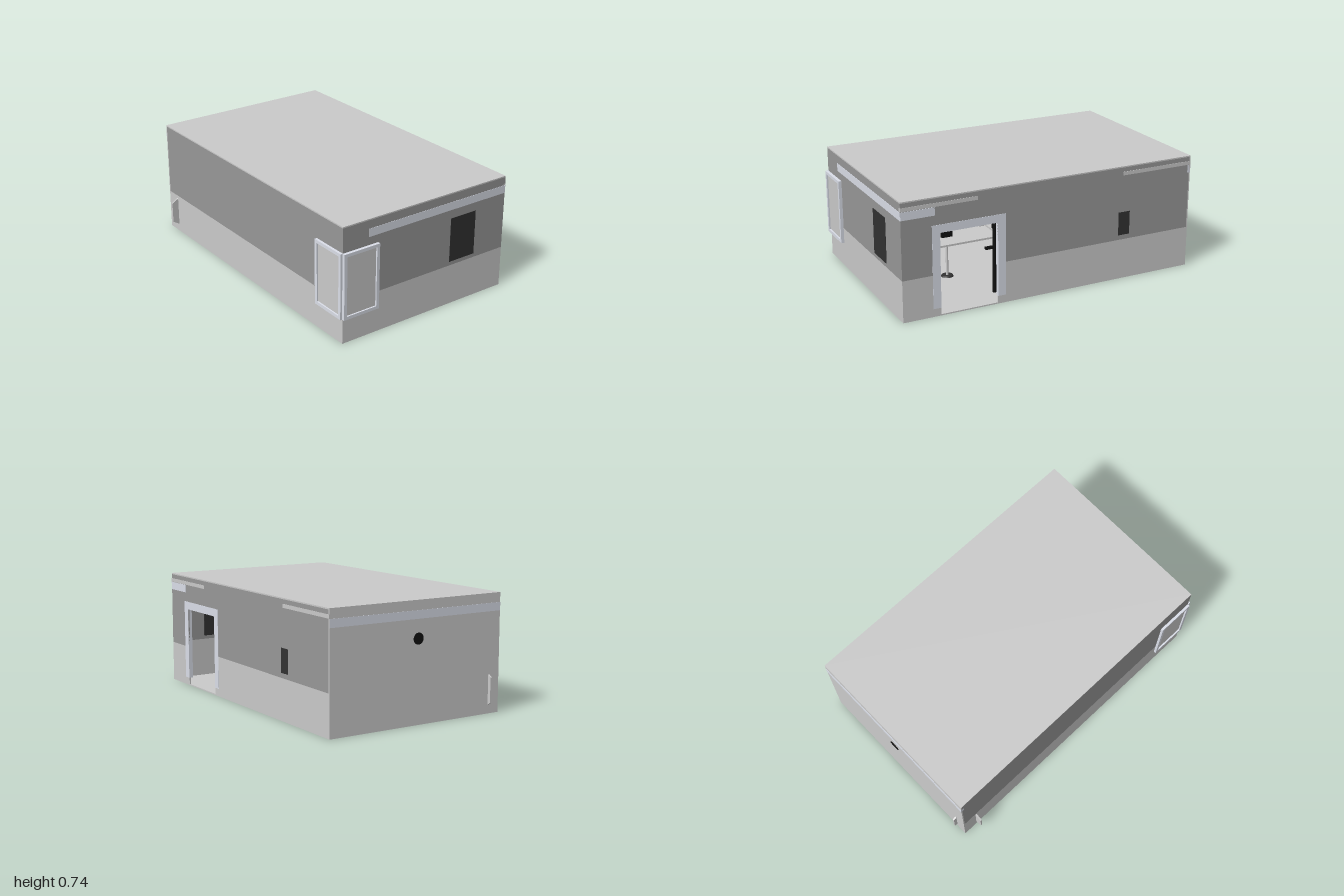
import * as THREE from 'three';

const GREY = 0xcccccc, DARK = 0x999999, TRIM = 0xdce0ea, BLACK = 0x101010, BOARD = 0x323232;
const L = -0.59, R = 0.63, F = 0.98, B = -0.978, H = 0.735, DADO = 0.26, T = 0.008;

const materials = new Map();
function mat(color) {
  if (!materials.has(color)) {
    materials.set(color, new THREE.MeshStandardMaterial({ color, side: THREE.DoubleSide }));
  }
  return materials.get(color);
}

export function createModel() {
  const room = new THREE.Group();
  room.name = 'room';

  const add = (parent, name, geometry, color) => {
    const mesh = new THREE.Mesh(geometry, mat(color));
    mesh.name = name;
    parent.add(mesh);
    return mesh;
  };
  // Box given by its limits on each axis
  const box = (parent, name, color, x0, x1, y0, y1, z0, z1) => {
    const mesh = add(parent, name, new THREE.BoxGeometry(x1 - x0, y1 - y0, z1 - z0), color);
    mesh.position.set((x0 + x1) / 2, (y0 + y1) / 2, (z0 + z1) / 2);
    return mesh;
  };
  const group = (name) => {
    const g = new THREE.Group();
    g.name = name;
    room.add(g);
    return g;
  };

  // Shell: floor, ceiling and two-tone walls
  box(room, 'floor', GREY, L, R, 0, T, B, F);
  box(room, 'ceiling', GREY, L, R, H - T, H, B, F);
  box(room, 'backWall', GREY, L, R, T, H - T, B, B + T);
  const doorZ0 = 0.37, doorZ1 = 0.74, doorTop = 0.515;
  for (const [name, color, y0, y1] of [['lowerWall', GREY, T, DADO], ['upperWall', DARK, DADO, H - T]]) {
    box(room, name + 'Front', color, L, R, y0, y1, F - T, F);
    box(room, name + 'Right', color, L, L + T, y0, y1, B + T, F - T);
    box(room, name + 'DoorSideRear', color, R - T, R, y0, y1, B + T, doorZ0);
    box(room, name + 'DoorSideFront', color, R - T, R, y0, y1, doorZ1, F - T);
  }
  box(room, 'doorLintel', DARK, R - T, R, doorTop, H - T, doorZ0, doorZ1);

  // Door casing
  const casing = group('doorCasing');
  box(casing, 'casingTop', TRIM, R - 0.025, R + 0.002, doorTop, 0.565, doorZ0 - 0.05, doorZ1 + 0.05);
  for (const z of [doorZ0 - 0.05, doorZ1]) {
    box(casing, 'casingSide', TRIM, R - 0.025, R + 0.002, 0.05, doorTop, z, z + 0.05);
  }

  // Trim bands flush with the walls
  const e = 0.002;
  box(room, 'frontBand', TRIM, -0.405, R, 0.625, 0.675, F - 0.02, F + e);
  box(room, 'doorSideBand', TRIM, R - 0.02, R + e, 0.625, 0.675, 0.77, F);
  box(room, 'backBand', TRIM, L, R, 0.625, 0.675, B - e, B + 0.02);
  box(room, 'frontCornice', GREY, R - 0.02, R + e, 0.677, 0.70, 0.5, F);
  box(room, 'rearCornice', GREY, R - 0.02, R + e, 0.677, 0.70, B, -0.485);

  // Dark boards and round clock
  box(room, 'frontBoard', BOARD, 0.203, 0.397, 0.285, 0.57, F - 0.02, F + e);
  box(room, 'smallBoard', BOARD, R - 0.02, R + 0.0005, 0.29, 0.44, -0.54, -0.46);
  const clock = add(room, 'clock', new THREE.CylinderGeometry(0.035, 0.035, 0.02, 32), BLACK);
  clock.rotation.x = Math.PI / 2;
  clock.position.set(0.02, 0.51, B + 0.007);

  // Two framed windows meeting at a corner, built facing +z
  const makeWindow = (name, w) => {
    const g = group(name);
    const h = 0.415, b = 0.02, d = 0.02;
    for (const s of [-1, 1]) {
      box(g, 'frameSide', TRIM, s * (w / 2 - b / 2) - b / 2, s * (w / 2 - b / 2) + b / 2, -h / 2, h / 2, -0.02, d);
      box(g, 'frameRail', TRIM, -w / 2 + b, w / 2 - b, s * (h / 2 - b / 2) - b / 2, s * (h / 2 - b / 2) + b / 2, -0.02, d);
      // Dark inner border on the room side
      box(g, 'innerSide', BLACK, s * (w / 2 - 0.027) - 0.007, s * (w / 2 - 0.027) + 0.007, -h / 2 + b, h / 2 - b, -0.02, -0.009);
      box(g, 'innerRail', BLACK, -w / 2 + b, w / 2 - b, s * (h / 2 - 0.027) - 0.007, s * (h / 2 - 0.027) + 0.007, -0.02, -0.009);
    }
    box(g, 'pane', GREY, -w / 2 + b, w / 2 - b, -h / 2 + b, h / 2 - b, -0.012, 0.01);
    return g;
  };
  makeWindow('frontWindow', 0.25).position.set(-0.468, 0.367, F);
  const sideWindow = makeWindow('sideWindow', 0.245);
  sideWindow.rotation.y = -Math.PI / 2;
  sideWindow.position.set(L + 0.004, 0.367, 0.858);

  // Thin bevelled plates standing out of the walls
  const plate = (name, out, y0, y1, bevel) => {
    const shape = new THREE.Shape([
      new THREE.Vector2(0, y0), new THREE.Vector2(out, y0 + bevel),
      new THREE.Vector2(out, y1 - bevel), new THREE.Vector2(0, y1),
    ]);
    return add(room, name, new THREE.ExtrudeGeometry(shape, { depth: 0.01, bevelEnabled: false }), GREY);
  };
  const sidePlate = plate('sidePlate', 0.045, 0.05, 0.24, 0.028);
  sidePlate.rotation.y = Math.PI;
  sidePlate.position.set(L, 0, -0.87);
  const backPlate = plate('backPlate', 0.022, 0.055, 0.24, 0.014);
  backPlate.rotation.y = Math.PI / 2;
  backPlate.position.set(-0.52, 0, B);

  // Rail and shelf on the far wall
  box(room, 'wallRail', TRIM, L + T, L + 0.02, 0.262, 0.277, B + T, F - T);
  box(room, 'wallShelf', TRIM, L + T, L + 0.08, 0.503, 0.515, 0.2, 0.75);
  box(room, 'shelfLamp', GREY, L + 0.02, L + 0.07, 0.498, 0.51, 0.57, 0.66);

  // Pedestal tables with a small dark screen each
  for (const x of [0.12, -0.3]) {
    for (const z of [0.472, -0.1]) {
      const table = group('table');
      table.position.set(x, 0, z);
      box(table, 'tableTop', GREY, -0.13, 0.13, 0.258, 0.27, -0.26, 0.26);
      add(table, 'tableLeg', new THREE.CylinderGeometry(0.008, 0.008, 0.25, 12), GREY).position.y = 0.133;
      add(table, 'tableFoot', new THREE.CylinderGeometry(0.035, 0.04, 0.008, 20), BOARD).position.y = 0.012;
      box(table, 'screen', BLACK, -0.01, 0.01, 0.27, 0.36, -0.036, 0.036);
    }
  }

  // Black post with an arm beside the door
  const post = group('post');
  post.position.set(0.48, 0, 0.32);
  add(post, 'postPole', new THREE.CylinderGeometry(0.012, 0.012, 0.44, 12), BLACK).position.y = 0.228;
  box(post, 'postArm', BLACK, -0.01, 0.01, 0.295, 0.31, -0.08, 0.06);
  box(post, 'postHead', BLACK, -0.02, 0.02, 0.42, 0.45, -0.08, 0.01);

  return room;
}
